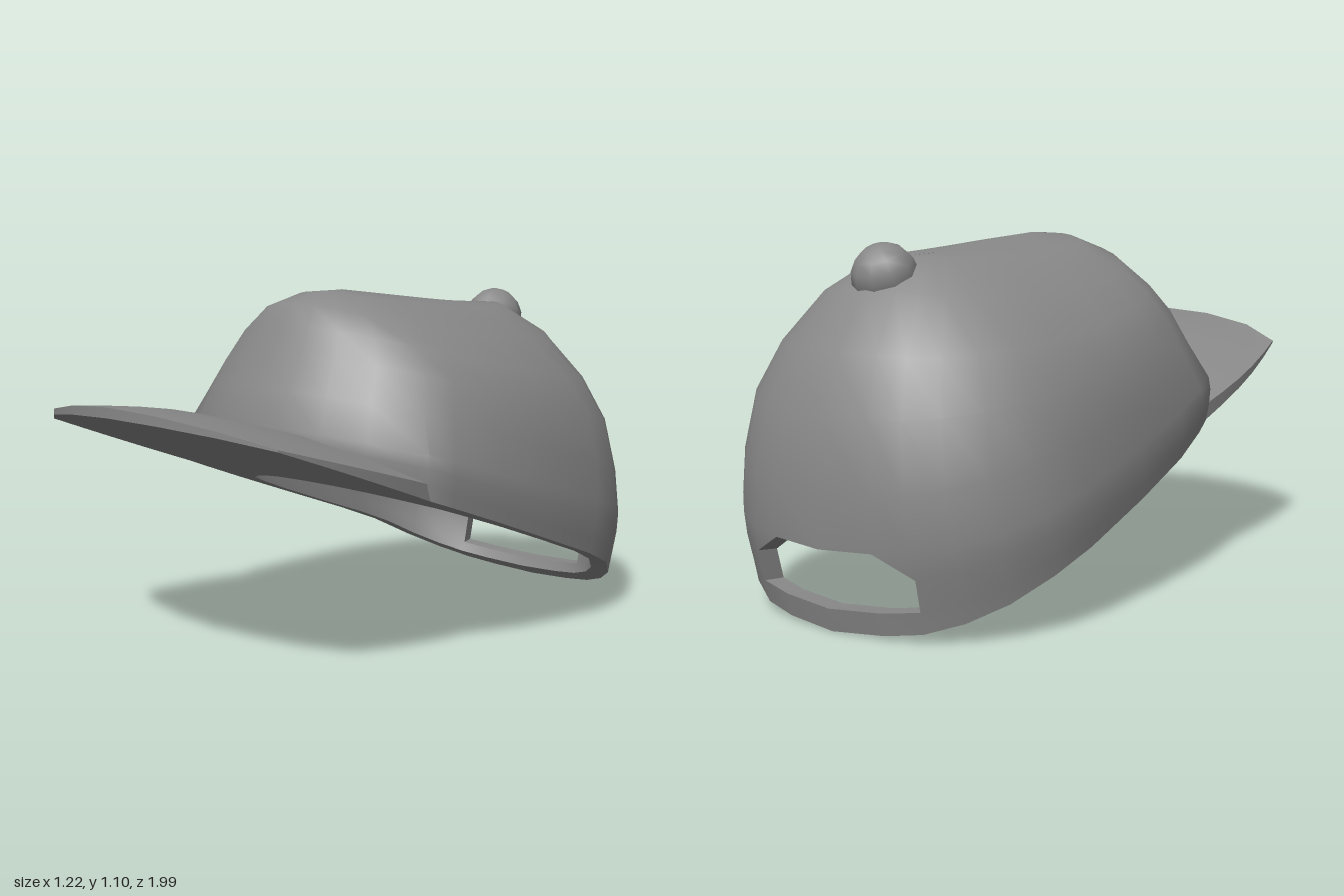
import * as THREE from 'three';
import { toCreasedNormals } from 'three/addons/utils/BufferGeometryUtils.js';

const material = new THREE.MeshStandardMaterial({ color: 0x888888 });

function addMesh(group, geometry, name) {
  const mesh = new THREE.Mesh(geometry, material);
  mesh.name = name;
  group.add(mesh);
  return mesh;
}

// Closed shell: outer skin, reversed inner skin, and walls along every open edge.
function shell(outer, inner, faces, crease) {
  const n = outer.length;
  const index = [];
  const edges = new Map();
  const addFace = (f) => {
    for (let i = 1; i < f.length - 1; i++) index.push(f[0], f[i], f[i + 1]);
  };
  for (const f of faces) {
    addFace(f);
    addFace(f.map((i) => i + n).reverse());
    f.forEach((p, i) => {
      const q = f[(i + 1) % f.length];
      if (p !== q) edges.set(p + '_' + q, [p, q]);
    });
  }
  for (const [p, q] of edges.values()) {
    if (!edges.has(q + '_' + p)) addFace([q, p, p + n, q + n]);
  }
  const geometry = new THREE.BufferGeometry();
  geometry.setAttribute('position', new THREE.Float32BufferAttribute([...outer, ...inner].flat(), 3));
  geometry.setIndex(index);
  return toCreasedNormals(geometry, crease);
}

// Brim underside and crown rim share one sloping plane; the rim dips at the back.
const underside = (z) => 0.407 + 0.351 * z;
const rimHeight = (z) => underside(z) - 0.077 * Math.max(0, (-0.6 - z) / 0.33);

// Half outline of the crown in plan: [x / half width, 0 at the back to 1 at the front]
const plan = [
  [0, 0], [0.29, 0.014], [0.48, 0.034], [0.65, 0.075], [0.8, 0.135], [0.92, 0.215], [0.975, 0.316], [1, 0.505],
  [1, 0.673], [0.965, 0.79], [0.93, 0.855], [0.66, 0.916], [0.44, 0.963], [0.23, 0.99], [0, 1],
];
const oval = (s) => Math.sqrt(Math.max(0, 1 - ((s - 0.55) / (s < 0.55 ? 0.55 : 0.45)) ** 2));

// Crown levels from rim to top: [front z, front y, back z, back y, half width, drop at the sides]
const levels = [
  [0.48, 0.58, -0.935, 0, 0.6, 0],
  [0.485, 0.62, -0.95, 0.07, 0.605, 0],
  [0.488, 0.665, -0.975, 0.17, 0.61, 0],
  [0.485, 0.7, -0.99, 0.25, 0.605, 0],
  [0.44, 0.81, -0.995, 0.42, 0.588, 0.01],
  [0.38, 0.92, -0.965, 0.62, 0.555, 0.03],
  [0.34, 1.0, -0.895, 0.79, 0.49, 0.05],
  [0.3, 1.06, -0.77, 0.955, 0.39, 0.06],
  [0.2, 1.095, -0.62, 1.045, 0.24, 0.025],
  [0.08, 1.1, -0.45, 1.05, 0, 0],
];

function crownGeometry() {
  const half = plan.length - 1;
  const N = half * 2;
  const top = levels.length - 1;
  const id = (l, k) => {
    k = (k + N) % N;
    if (l === top) k = Math.min(k, N - k); // both sides share the ridge
    return l * N + k;
  };

  const skin = (isInner) => {
    const points = [];
    levels.forEach(([fz, fy, bz, by, w, drop], l) => {
      const f = l / top;
      const low = Math.max(0, 1 - l / 4); // 1 at the rim, 0 from the fourth level up
      if (isInner) {
        fz -= 0.07 + 0.16 * low;
        bz += 0.065;
        fy -= 0.07 * f;
        by -= 0.07 * f * f;
      }
      for (let k = 0; k < N; k++) {
        const [px, s] = plan[k <= half ? k : N - k];
        // The outline grows rounder toward the top and at the front of the lining
        const upper = Math.max(0, (l - 3) / 6);
        const round = s > 0.55 ? Math.max(Math.sqrt(upper) * 0.85, isInner ? 0.5 * low : 0) : 0.8 * upper;
        const out = px + (oval(s) - px) * round;
        const z = bz + (fz - bz) * s;
        const lift = (rimHeight(-0.935 + 1.415 * s) - 0.58 * s) * low;
        points.push([
          (k <= half ? 1 : -1) * out * w * (isInner ? 1 - 0.14 * px : 1),
          l === 0 ? rimHeight(z) : by + (fy - by) * s - drop * out * out + lift,
          z,
        ]);
      }
    });
    return points;
  };

  const faces = [];
  for (let l = 0; l < top; l++) {
    for (let k = 0; k < N; k++) {
      const a = id(l, k), b = id(l + 1, k), c = id(l + 1, k + 1), d = id(l, k + 1);
      const fromBack = Math.min(k, N - 1 - k);
      // Strap opening with cut upper corners
      if (l === 1 && fromBack < 2) continue;
      if (l === 2 && fromBack === 0) continue;
      if (l === 2 && fromBack === 1) faces.push(k === 1 ? [b, c, d] : [a, b, c]);
      else faces.push([a, b, c, d]);
    }
  }
  return shell(skin(false), skin(true), faces, 0.95);
}

function brimGeometry() {
  // Half columns: [inner x, inner z, front x, front z]
  const halfColumns = [
    [0, 0.43, 0, 0.998], [0.2, 0.4, 0.2, 0.975], [0.4, 0.32, 0.39, 0.92], [0.56, 0.25, 0.535, 0.83],
  ];
  const columns = [
    ...halfColumns.slice(1).reverse().map(([a, b, c, d]) => [-a, b, -c, d]),
    ...halfColumns,
  ];
  const rows = 5;
  const top = [], bottom = [], faces = [];
  columns.forEach(([ix, iz, fx, fz], c) => {
    const u = ix / 0.56;
    for (let r = 0; r <= rows; r++) {
      const a = r / rows;
      const x = ix + (fx - ix) * a + 0.022 * u * Math.sin(Math.PI * a);
      const z = iz + (fz - iz) * a;
      const y = underside(z);
      // Thin at the front corners, arched along the middle
      top.push([x, y + 0.006 + 0.045 * (1 - a) + (1 - u * u) * (0.025 + 0.05 * (1 - a ** 3)), z]);
      bottom.push([x, y, z]);
      if (c < columns.length - 1 && r < rows) {
        const i = c * (rows + 1) + r;
        faces.push([i, i + 1, i + rows + 2, i + rows + 1]);
      }
    }
  });
  return shell(top, bottom, faces, 0.7);
}

export function createModel() {
  const cap = new THREE.Group();
  cap.name = 'cap';
  addMesh(cap, crownGeometry(), 'crown');
  addMesh(cap, brimGeometry(), 'brim');

  // Button on the top of the crown
  const button = addMesh(cap, new THREE.SphereGeometry(0.1, 10, 8), 'button');
  button.position.set(0, 0.99, -0.68);
  button.rotation.x = -0.4;
  return cap;
}
